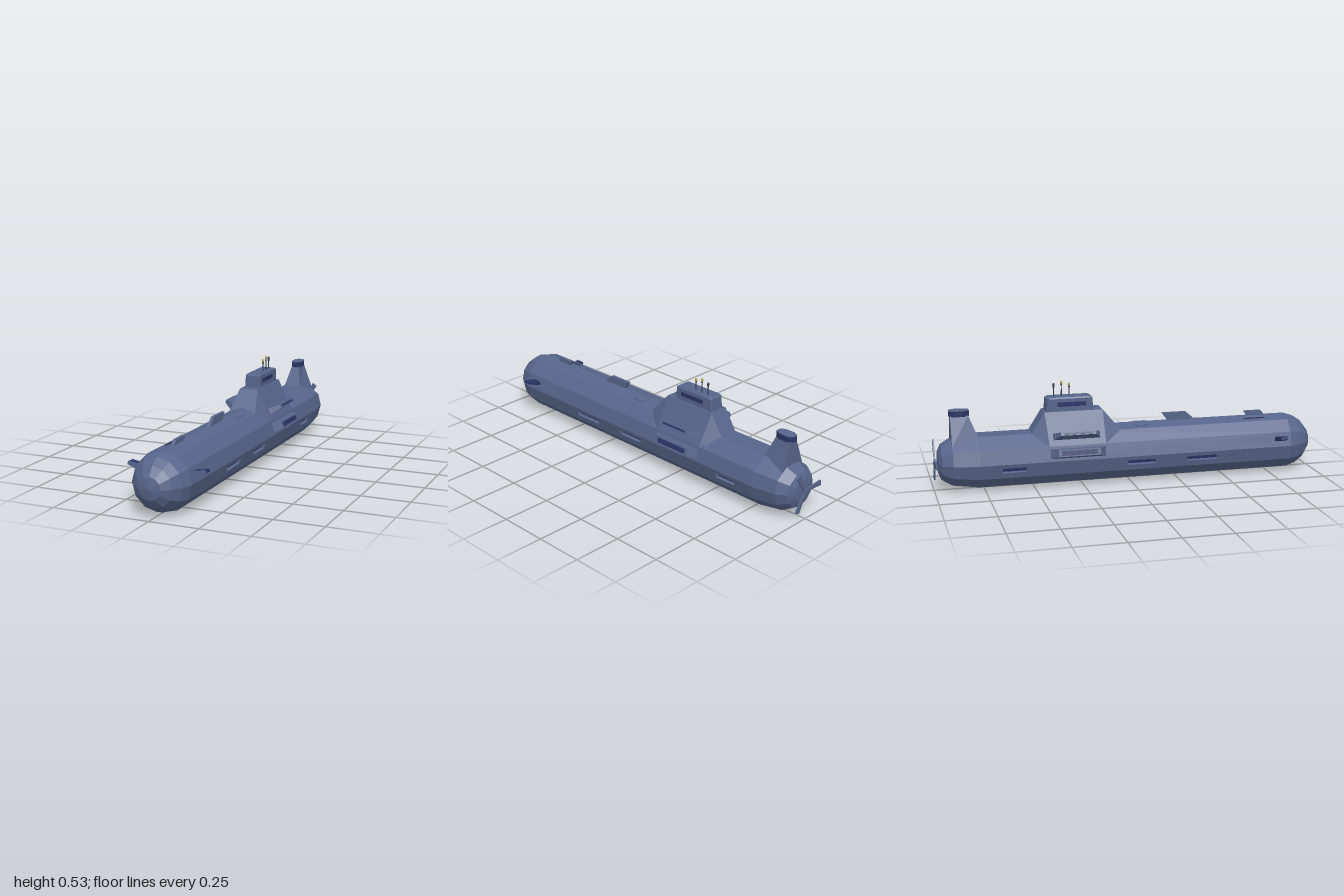
import * as THREE from 'three';

const mat = (name, color) => {
  const m = new THREE.MeshStandardMaterial({ color });
  m.name = name;
  return m;
};

export function createModel() {
  const root = new THREE.Group();
  root.name = 'submarine';
  const hullMat = mat('hullBlueGrey', 0x56658a);
  const navy = mat('navy', 0x2a3566);
  const dark = mat('darkSteel', 0x2c3548);
  const gold = mat('brass', 0xb5a552);

  const add = (parent, name, geo, material, x = 0, y = 0, z = 0) => {
    const m = new THREE.Mesh(geo, material);
    m.name = name;
    m.position.set(x, y, z);
    parent.add(m);
    return m;
  };
  const box = (parent, name, w, h, d, material, x, y, z) =>
    add(parent, name, new THREE.BoxGeometry(w, h, d), material, x, y, z);

  // Faceted skin through a row of rings, with both ends capped; skip leaves a face open
  const loft = (rings, skip = () => false) => {
    const pos = [];
    const tri = (a, b, c) => {
      const [A, B, C] = [a, b, c].map((p) => new THREE.Vector3(...p));
      if (B.sub(A).cross(C.sub(A)).length() > 1e-9) pos.push(...a, ...b, ...c);
    };
    const n = rings[0].length;
    for (let i = 0; i < rings.length - 1; i++) {
      for (let j = 0; j < n; j++) {
        if (skip(i, j)) continue;
        const k = (j + 1) % n;
        const a = rings[i][j], b = rings[i][k], c = rings[i + 1][k], d = rings[i + 1][j];
        tri(a, b, c);
        tri(a, c, d);
      }
    }
    const first = rings[0], last = rings[rings.length - 1];
    for (let j = 1; j < n - 1; j++) {
      tri(first[0], first[j + 1], first[j]);
      tri(last[0], last[j], last[j + 1]);
    }
    const g = new THREE.BufferGeometry();
    g.setAttribute('position', new THREE.Float32BufferAttribute(pos, 3));
    g.computeVertexNormals();
    return g;
  };
  // Ring from its +x half, listed front to back
  const mirrorRing = (pts) => [...pts, ...pts.slice().reverse().map(([x, y, z]) => [-x, y, z])];

  // Hull: twelve-sided, flattened deck aft of the sail, side facets left open for the panels
  const R = 0.147, CY = 0.147;
  const hullRing = (z, r, aft) => Array.from({ length: 12 }, (_, i) => {
    const a = (i * Math.PI) / 6;
    let x = r * Math.cos(a), y = r * Math.sin(a);
    if (aft && i > 1 && i < 5) {
      x *= 0.68;
      y = 0.866 * r;
    }
    return [x, CY + y, z];
  });
  const stations = [
    [-0.982, 0.001, 1], [-0.977, 0.06, 1], [-0.962, 0.095, 1], [-0.91, 0.128, 1], [-0.78, R, 1],
    [-0.47, R, 1], [-0.4, R, 0], [0.856, R, 0], [0.91, 0.13, 0], [0.955, 0.1, 0],
    [0.987, 0.057, 0], [1, 0.001, 0],
  ];
  add(root, 'hull', loft(stations.map((s) => hullRing(...s)),
    (i, j) => i >= 4 && i <= 6 && [0, 5, 6, 11].includes(j)), hullMat);

  // Sail: flared lower body and upper tower
  add(root, 'sail', loft([
    mirrorRing([[0.073, 0.272, -0.05], [0.128, 0.222, -0.14], [0.128, 0.222, -0.43], [0.05, 0.27, -0.51]]),
    mirrorRing([[0.05, 0.38, -0.14], [0.05, 0.38, -0.14], [0.05, 0.38, -0.44], [0.05, 0.38, -0.44]]),
  ]), hullMat);
  const towerRing = (y, w, front, back, c) =>
    mirrorRing([[w - c, y, front], [w, y, front - c], [w, y, back + c], [w - c, y, back]]);
  add(root, 'sailTower', loft([
    towerRing(0.375, 0.041, -0.185, -0.43, 0.006),
    towerRing(0.443, 0.041, -0.19, -0.425, 0.006),
    towerRing(0.45, 0.036, -0.2, -0.412, 0.006),
  ]), hullMat);
  for (const s of [-1, 1]) {
    box(root, 'towerWindow', 0.002, 0.022, 0.145, navy, s * 0.041, 0.414, -0.298);
  }

  // Masts with small round heads
  [[-0.3, 0.505, gold], [-0.34, 0.516, gold], [-0.38, 0.505, dark]].forEach(([z, top, m]) => {
    const h = top - 0.445;
    add(root, 'mast', new THREE.CylinderGeometry(0.0018, 0.0035, h, 6), dark, 0.014, 0.445 + h / 2, z);
    add(root, 'mastCollar', new THREE.CylinderGeometry(0.0055, 0.003, 0.005, 6), dark, 0.014, top - 0.013, z);
    add(root, 'mastHead', new THREE.SphereGeometry(0.0065, 8, 6), m, 0.014, top, z).scale.y = 1.6;
  });

  // Tapered block pointing outward (+x) from its base
  const taper = (depth, l0, h0, l1, h1) => loft([[-0.01, l0, h0], [depth, l1, h1]].map(([x, l, h]) =>
    [[x, h / 2, -l / 2], [x, h / 2, l / 2], [x, -h / 2, l / 2], [x, -h / 2, -l / 2]]));
  // Frame lying on the hull side, its local x along the surface normal
  const mount = (name, s, x, y, z, angle) => {
    const g = new THREE.Group();
    g.name = name;
    g.position.set(s * x, y, z);
    g.rotation.z = s > 0 ? angle : Math.PI - angle;
    root.add(g);
    return g;
  };

  const tilt = Math.PI / 12;
  const apothem = R * Math.cos(tilt), half = R * Math.sin(tilt);
  const rect = (Type, u0, u1, v0, v1) =>
    new Type([[u0, v0], [u1, v0], [u1, v1], [u0, v1]].map((p) => new THREE.Vector2(...p)));
  // Side facet of the hull with box recesses sunk into it: [centre z, length]
  const sidePanel = (s, angle, slots, y, h, d, paneMat) => {
    const g = mount('sidePanel', s, apothem * Math.cos(angle), CY + apothem * Math.sin(angle), 0, angle);
    const shape = rect(THREE.Shape, -0.856, 0.78, -half, half);
    for (const [z, l] of slots) {
      shape.holes.push(rect(THREE.Path, -z - l / 2, -z + l / 2, y - h / 2, y + h / 2));
      box(g, 'recessBack', 0.003, h, l, paneMat, -d, y, z);
      for (const e of [-1, 1]) {
        box(g, 'recessEdge', d, 0.003, l, hullMat, -d / 2 - 0.0005, y + e * (h / 2 + 0.0015), z);
        box(g, 'recessEnd', d, h, 0.003, hullMat, -d / 2 - 0.0005, y, z + e * (l / 2 + 0.0015));
      }
    }
    add(g, 'panelSkin', new THREE.ShapeGeometry(shape).rotateY(Math.PI / 2), hullMat);
  };

  for (const s of [-1, 1]) {
    // Long windows low on the hull, stowage slots near the bow
    sidePanel(s, -tilt, [[0.367, 0.165], [0.045, 0.15], [-0.61, 0.12]], s * 0.004, 0.026, 0.018, navy);
    sidePanel(s, tilt, [[0.69, 0.27]], 0, 0.024, 0.014, hullMat);

    // Side sponsons with dark windows
    const low = mount('lowerSponson', s, 0.137, 0.185, -0.285, tilt);
    add(low, 'sponsonBody', taper(0.04, 0.3, 0.052, 0.215, 0.036), hullMat);
    box(low, 'sponsonWindow', 0.004, 0.024, 0.18, navy, 0.04, 0, 0);

    const up = mount('upperSponson', s, 0.108, 0.266, -0.288, 0.46);
    add(up, 'sponsonBody', taper(0.056, 0.25, 0.036, 0.18, 0.018), hullMat);
    box(up, 'sponsonWindow', 0.004, 0.01, 0.15, navy, 0.056, 0, 0);

    // Bow planes with a plain leading edge
    const bow = mount('bowPlane', s, 0.137, 0.188, 0.795, tilt);
    add(bow, 'bowPlaneBlade', taper(0.065, 0.05, 0.024, 0.036, 0.014), navy);
    add(bow, 'bowPlaneEdge', taper(0.065, 0.008, 0.026, 0.008, 0.016), hullMat, 0, 0, 0.022);

    // Deck hatches
    const hatch = box(root, 'deckHatch', 0.022, 0.01, 0.07, hullMat, s * 0.0367, 0.283, 0.073);
    hatch.rotation.z = -s * tilt;
  }

  // Swept deck fins: base front/back and top front/back
  for (const [f0, b0, f1, b1, top] of [[0.37, 0.222, 0.315, 0.187, 0.332], [0.754, 0.66, 0.73, 0.636, 0.316]]) {
    const ring = (y, f, b) => mirrorRing([[0.008, y, f], [0.008, y, b]]);
    add(root, 'deckFin', loft([ring(0.285, f0, b0), ring(top, f1, b1)]), hullMat);
  }
  box(root, 'deckSlot', 0.006, 0.008, 0.115, dark, -0.043, 0.282, 0.68).rotation.z = tilt;

  // Tail fin and its stacked cap
  add(root, 'tailFin', loft([
    mirrorRing([[0.048, 0.268, -0.775], [0.075, 0.235, -0.91]]),
    mirrorRing([[0.02, 0.38, -0.82], [0.02, 0.38, -0.91]]),
  ]), hullMat);
  const capRing = (y) => mirrorRing([[0.014, y, -0.815], [0.028, y, -0.845], [0.028, y, -0.89], [0.014, y, -0.915]]);
  add(root, 'tailCapCore', loft([capRing(0.376), capRing(0.404)]), navy);
  add(root, 'tailCapTop', loft([capRing(0.404), capRing(0.408)]), hullMat);

  // Three-bladed propeller
  const prop = new THREE.Group();
  prop.name = 'propeller';
  prop.position.set(0, CY, -0.99);
  root.add(prop);
  const hub = add(prop, 'propellerHub', new THREE.CylinderGeometry(0.012, 0.012, 0.02, 8), hullMat);
  hub.rotation.x = Math.PI / 2;
  const shape = new THREE.Shape([[0, -0.006], [0.112, -0.016], [0.116, 0.012], [0, 0.006]]
    .map((p) => new THREE.Vector2(...p)));
  const bladeGeo = new THREE.ExtrudeGeometry(shape, { depth: 0.008, bevelEnabled: false });
  for (let i = 0; i < 3; i++) {
    add(prop, 'propellerBlade', bladeGeo, hullMat, 0, 0, -0.006).rotation.z = Math.PI / 3 + (i * Math.PI * 2) / 3;
  }
  return root;
}
